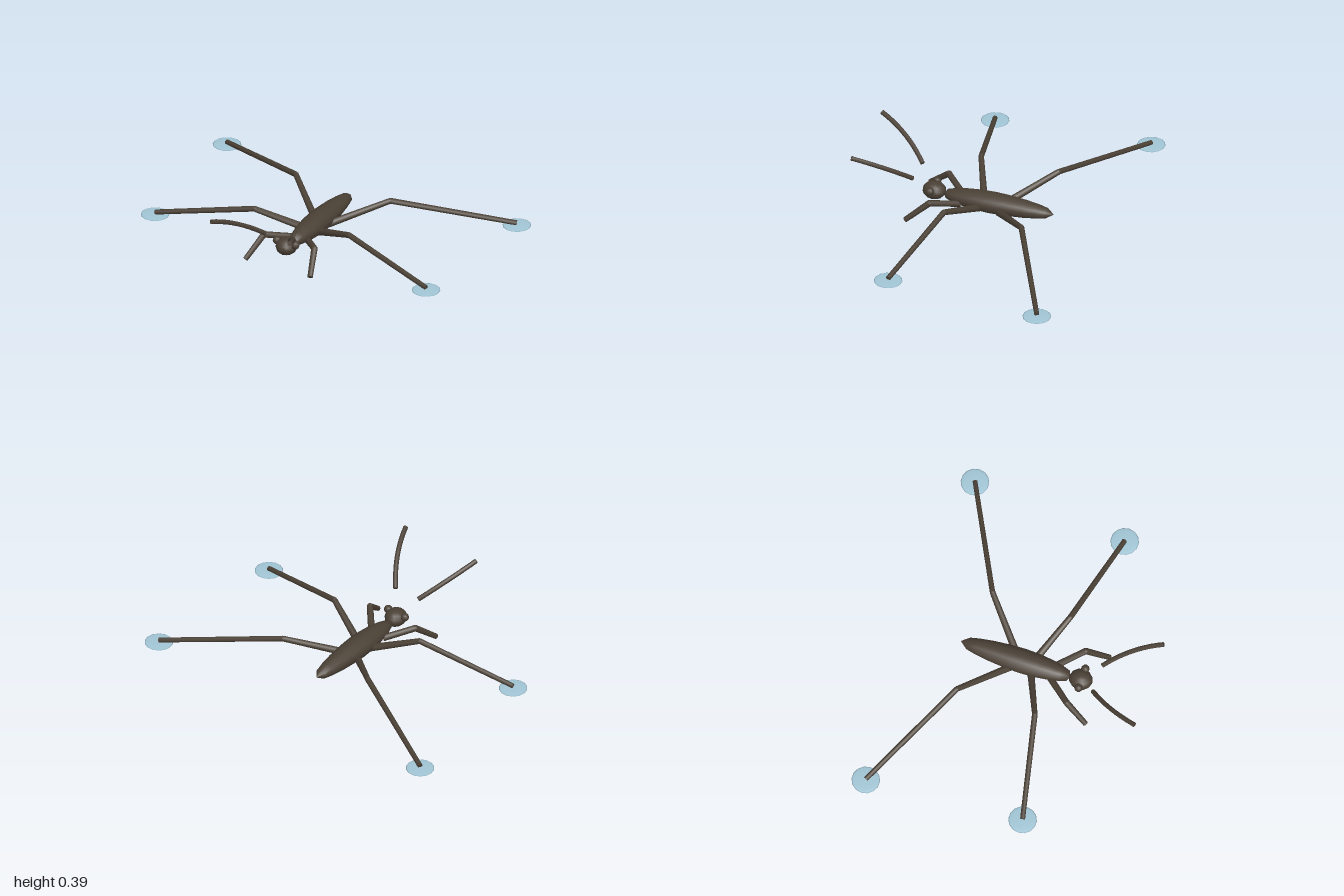
import * as THREE from 'three';

const shell = new THREE.MeshStandardMaterial({ color: 0x4a4035 });
shell.name = 'dark brown shell';
const water = new THREE.MeshStandardMaterial({ color: 0xa0c4d4 });
water.name = 'pale blue water';

function addMesh(parent, name, geometry, material, position = [0, 0, 0]) {
  const mesh = new THREE.Mesh(geometry, material);
  mesh.name = name;
  mesh.position.set(...position);
  parent.add(mesh);
  return mesh;
}

// Closed, tapered rod from a to b
function rod(parent, name, a, b, ra, rb, sides = 8) {
  const dir = b.clone().sub(a);
  const mesh = addMesh(parent, name, new THREE.CylinderGeometry(rb, ra, dir.length(), sides), shell);
  mesh.position.copy(a).add(b).multiplyScalar(0.5);
  mesh.quaternion.setFromUnitVectors(new THREE.Vector3(0, 1, 0), dir.normalize());
}

// Two-segment leg with a rounded knee
function leg(parent, name, points, radii) {
  const group = new THREE.Group();
  group.name = name;
  const [hip, knee, foot] = points.map((p) => new THREE.Vector3(...p));
  rod(group, 'upperLeg', hip, knee, radii[0], radii[1]);
  rod(group, 'lowerLeg', knee, foot, radii[1], radii[2]);
  addMesh(group, 'knee', new THREE.SphereGeometry(radii[1], 8, 6), shell, knee.toArray());
  parent.add(group);
}

// Everything that comes in pairs, for one side (s = 1 left, -1 right)
function buildSide(s) {
  const side = new THREE.Group();
  side.name = s > 0 ? 'leftSide' : 'rightSide';

  leg(side, 'frontLeg', [[s * 0.04, 0.075, 0.14], [s * 0.16, 0.12, 0.275], [s * 0.205, 0.012, 0.4]], [0.019, 0.018, 0.015]);
  leg(side, 'middleLeg', [[s * 0.04, 0.075, 0.025], [s * 0.3, 0.177, 0.138], [s * 0.86, 0.06, 0.26]], [0.021, 0.016, 0.014]);
  leg(side, 'rearLeg', [[s * 0.04, 0.07, -0.085], [s * 0.3, 0.177, -0.315], [s * 0.92, 0.06, -0.63]], [0.021, 0.016, 0.014]);

  // Thin lens-shaped water dimples under the long legs
  for (const [x, z] of [[0.86, 0.26], [0.92, -0.63]]) {
    const disc = addMesh(side, 'waterDimple', new THREE.SphereGeometry(0.079, 14, 8), water, [s * x, 0.046, z]);
    disc.scale.y = 0.07;
  }

  addMesh(side, 'eye', new THREE.SphereGeometry(0.024, 10, 8), shell, [s * 0.058, 0.128, 0.308]);

  // Curved antenna with closed ends
  const curve = new THREE.QuadraticBezierCurve3(
    new THREE.Vector3(s * 0.08, 0.208, 0.4),
    new THREE.Vector3(s * 0.192, 0.318, 0.525),
    new THREE.Vector3(s * 0.248, 0.375, 0.698),
  );
  const r = 0.0135;
  addMesh(side, 'antenna', new THREE.TubeGeometry(curve, 10, r, 8), shell);
  for (const [t, u] of [[0, 0.02], [1, 0.98]]) {
    rod(side, 'antennaEnd', curve.getPoint(u), curve.getPoint(t), r, r);
  }
  return side;
}

export function createModel() {
  const model = new THREE.Group();
  model.name = 'waterInsect';

  // Slender body: lathe profile of radius against z, slightly flattened
  const profile = [
    [0, -0.395], [0.034, -0.352], [0.046, -0.3], [0.058, -0.22], [0.067, -0.12], [0.07, -0.04],
    [0.067, 0.04], [0.058, 0.12], [0.045, 0.185], [0.03, 0.228], [0, 0.242],
  ].map(([r, z]) => new THREE.Vector2(r, z));
  const bodyGeometry = new THREE.LatheGeometry(profile, 14);
  bodyGeometry.rotateX(Math.PI / 2);
  const body = addMesh(model, 'body', bodyGeometry, shell, [0, 0.097, 0]);
  body.scale.y = 0.84;

  // Head
  const head = addMesh(model, 'head', new THREE.SphereGeometry(0.062, 12, 8), shell, [0, 0.106, 0.302]);
  head.scale.set(0.97, 0.8, 1.08);

  model.add(buildSide(1), buildSide(-1));
  return model;
}
